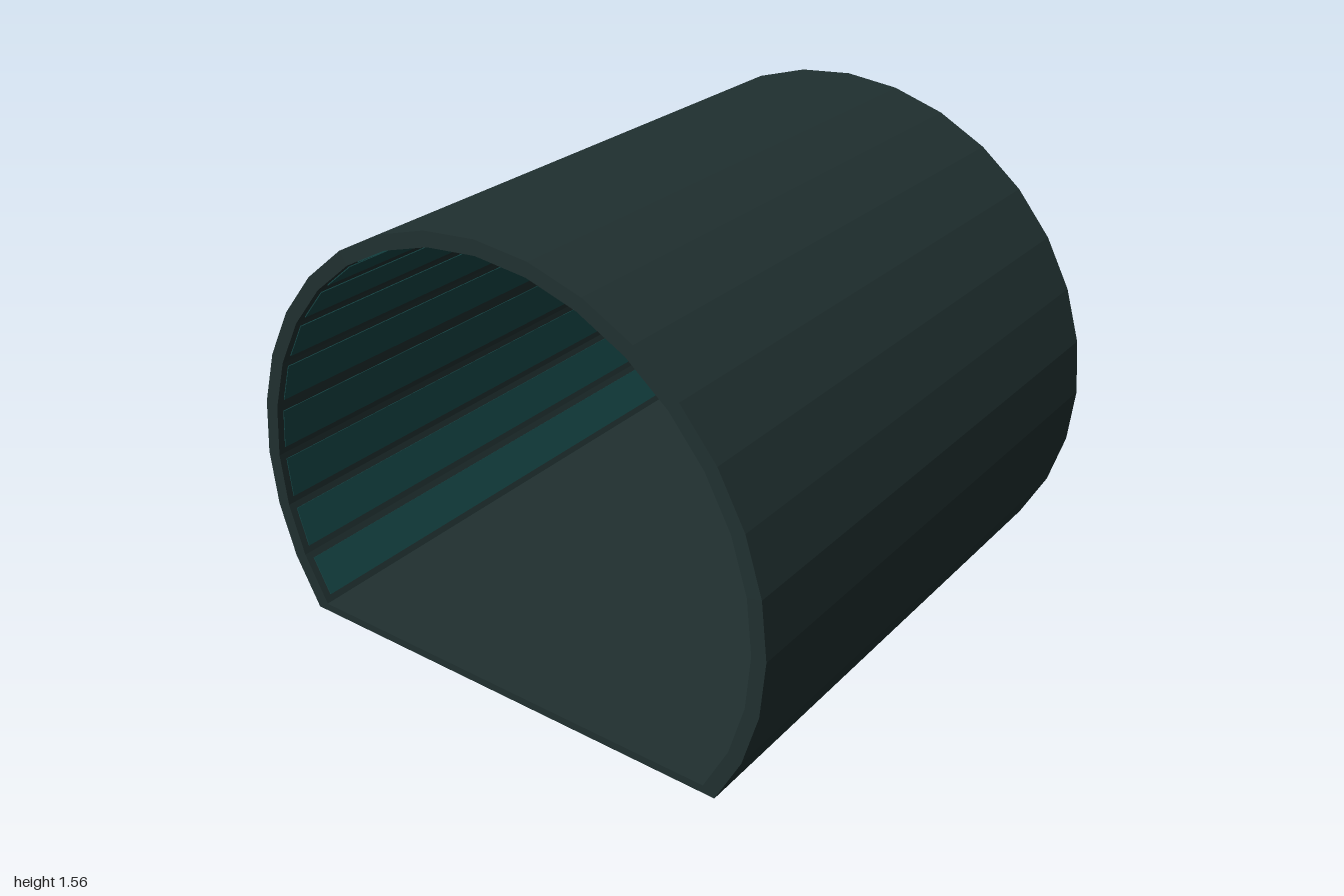
import * as THREE from 'three';

const STEP = Math.PI / 16;        // 32-sided circle
const FIRST = -3 * STEP;          // arc starts three sides below the horizontal
const SIDES = 22;
const OUTER = 1, INNER = 0.95, LENGTH = 2;
const CENTER_Y = -Math.sin(FIRST) * OUTER;

// Points of the open arc; closing it gives the flat floor
function arcPoints(radius) {
  const points = [];
  for (let i = 0; i <= SIDES; i++) {
    const a = FIRST + i * STEP;
    points.push(new THREE.Vector2(Math.cos(a) * radius, CENTER_Y + Math.sin(a) * radius));
  }
  return points;
}

export function createModel() {
  const model = new THREE.Group();
  model.name = 'tunnel';
  const dark = new THREE.MeshStandardMaterial({ color: 0x203030, flatShading: true });
  const teal = new THREE.MeshStandardMaterial({ color: 0x154545, flatShading: true });

  // Faceted tube with a flat floor, open at both ends
  const profile = new THREE.Shape(arcPoints(OUTER));
  profile.holes.push(new THREE.Path(arcPoints(INNER)));
  const shellGeometry = new THREE.ExtrudeGeometry(profile, { depth: LENGTH, bevelEnabled: false });
  shellGeometry.translate(0, 0, -LENGTH / 2);
  const shell = new THREE.Mesh(shellGeometry, dark);
  shell.name = 'shell';
  model.add(shell);

  // One long teal panel on each inner side, with dark strips left between
  const panels = new THREE.Group();
  panels.name = 'innerPanels';
  const panelGeometry = new THREE.BoxGeometry(0.004, 0.14, LENGTH - 0.05);
  const apothem = INNER * Math.cos(STEP / 2) - 0.001;
  for (let i = 0; i < SIDES; i++) {
    const a = FIRST + (i + 0.5) * STEP;
    const panel = new THREE.Mesh(panelGeometry, teal);
    panel.name = 'innerPanel';
    panel.position.set(Math.cos(a) * apothem, CENTER_Y + Math.sin(a) * apothem, 0);
    panel.rotation.z = a;
    panels.add(panel);
  }
  model.add(panels);

  return model;
}
